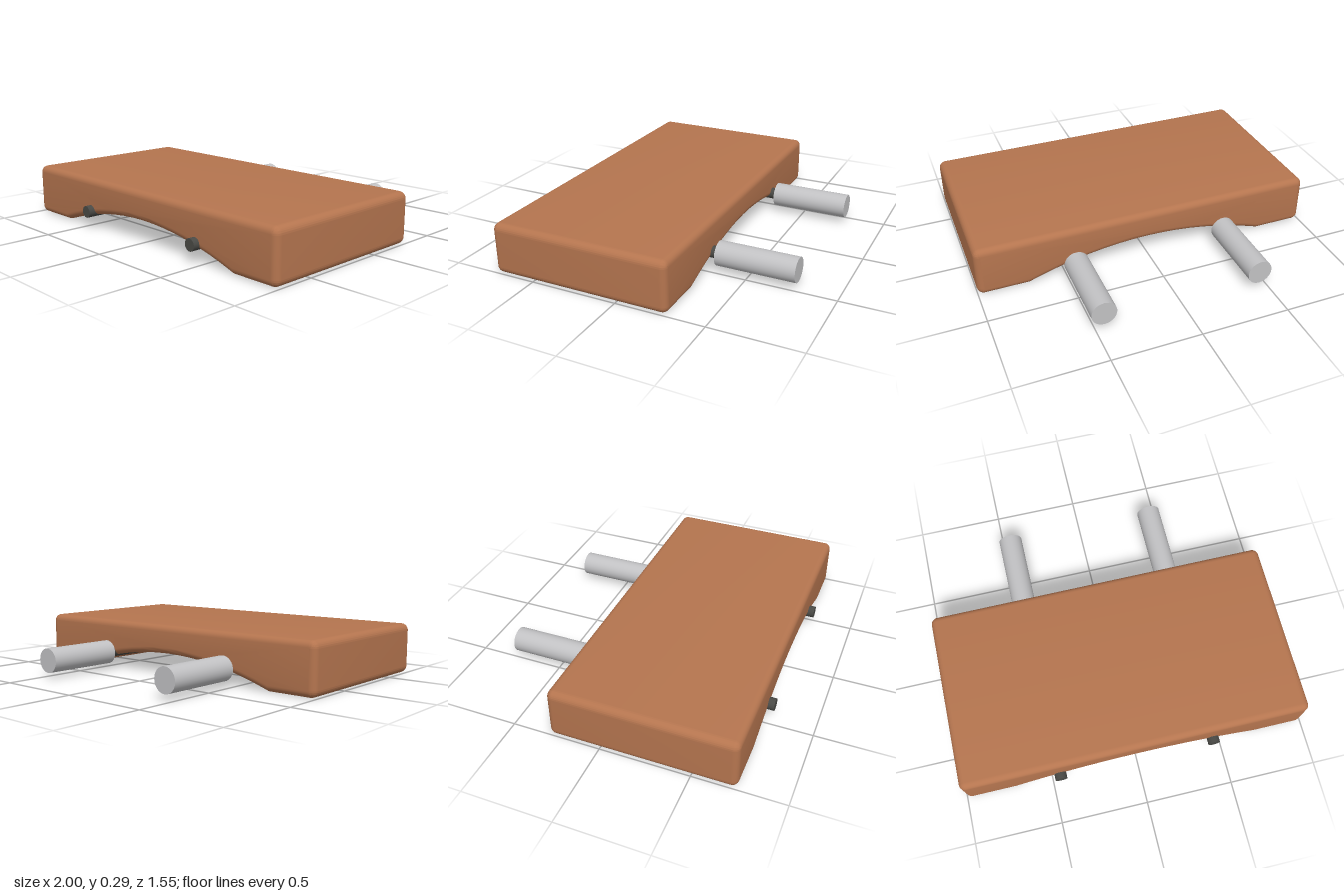
import * as THREE from 'three';
import { toCreasedNormals } from 'three/addons/utils/BufferGeometryUtils.js';

export function createModel() {
  const model = new THREE.Group();
  const brown = new THREE.MeshStandardMaterial({ name: 'brown', color: 0xb5754f });
  const darkMetal = new THREE.MeshStandardMaterial({ name: 'dark metal', color: 0x4a4a46 });
  const lightGrey = new THREE.MeshStandardMaterial({ name: 'light grey', color: 0xc2c2c4 });

  // Block: rounded slab with an arched underside, extruded front to back
  const top = 0.29, r = 0.04, bevel = 0.036, back = -0.29, front = 0.74;
  const s = new THREE.Shape();
  s.moveTo(-1 + r, 0);
  s.lineTo(-0.71, 0);
  s.quadraticCurveTo(0, 0.25, 0.71, 0);
  s.lineTo(1 - r, 0);
  s.absarc(1 - r, r, r, -Math.PI / 2, 0, false);
  s.absarc(1 - r, top - r, r, 0, Math.PI / 2, false);
  s.absarc(-1 + r, top - r, r, Math.PI / 2, Math.PI, false);
  s.absarc(-1 + r, r, r, Math.PI, Math.PI * 1.5, false);
  const slab = new THREE.ExtrudeGeometry(s, {
    depth: front - back - 2 * bevel, curveSegments: 16,
    bevelEnabled: true, bevelThickness: bevel, bevelSize: bevel, bevelOffset: -bevel, bevelSegments: 6,
  });
  slab.translate(0, 0, back + bevel);
  const block = new THREE.Mesh(toCreasedNormals(slab, 0.7), brown);
  block.name = 'archedBlock';
  model.add(block);

  // Cylinder lying along z between two depths
  function bar(name, radius, x, z0, z1, material) {
    const geo = new THREE.CylinderGeometry(radius, radius, z1 - z0, 32);
    geo.rotateX(Math.PI / 2);
    const mesh = new THREE.Mesh(geo, material);
    mesh.position.set(x, 0.1, (z0 + z1) / 2);
    mesh.name = name;
    model.add(mesh);
  }

  // Two rods under the block, each with a thick grip behind
  for (const [side, x] of [['left', 0.45], ['right', -0.45]]) {
    bar(side + 'Rod', 0.034, x, -0.4, 0.775, darkMetal);
    bar(side + 'Grip', 0.07, x, -0.775, -0.325, lightGrey);
  }
  return model;
}
